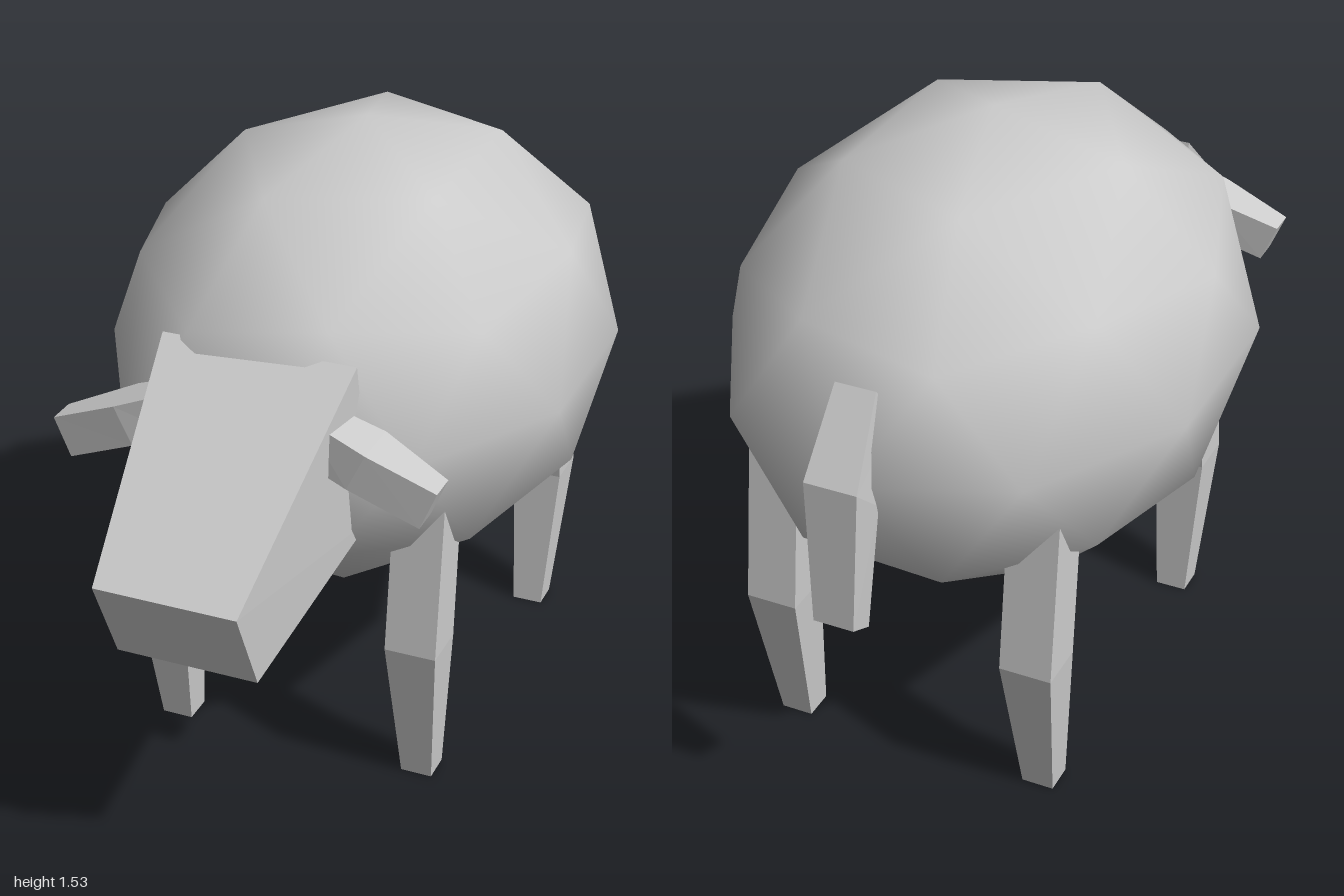
import * as THREE from 'three';

const material = new THREE.MeshStandardMaterial({ color: 0xcccccc });
const flatMaterial = new THREE.MeshStandardMaterial({ color: 0xcccccc, flatShading: true });

// Four-sided loft with end caps; each ring runs counter-clockwise seen from the last ring.
function loft(name, rings) {
  const pos = [];
  const quad = (a, b, c, d) => pos.push(...a, ...b, ...c, ...a, ...c, ...d);
  for (let r = 0; r < rings.length - 1; r++) {
    const a = rings[r], b = rings[r + 1];
    for (let i = 0; i < 4; i++) {
      const j = (i + 1) % 4;
      quad(a[i], a[j], b[j], b[i]);
    }
  }
  quad(...[...rings[0]].reverse());
  quad(...rings[rings.length - 1]);
  const geometry = new THREE.BufferGeometry();
  geometry.setAttribute('position', new THREE.Float32BufferAttribute(pos, 3));
  geometry.computeVertexNormals();
  const mesh = new THREE.Mesh(geometry, flatMaterial);
  mesh.name = name;
  return mesh;
}

// Ring between x0 and x1 through two [y, z] points.
const ring = (x0, x1, [py, pz], [qy, qz]) => [[x0, py, pz], [x1, py, pz], [x1, qy, qz], [x0, qy, qz]];

// Ring between two z depths through a lower and an upper [x, y] point.
const earRing = ([bx, by], [tx, ty], zBack, zFront) =>
  [[bx, by, zFront], [bx, by, zBack], [tx, ty, zBack], [tx, ty, zFront]];

const mirror = (rings) => rings.map((r) => r.map(([x, y, z]) => [-x, y, z]).reverse());

export function createModel() {
  const model = new THREE.Group();

  // Smooth body: coarse icosphere with a vertex on the y axis, stretched lengthwise
  const bodyGeometry = new THREE.IcosahedronGeometry(1, 1);
  bodyGeometry.rotateZ(Math.atan(2 / (1 + Math.sqrt(5))));
  bodyGeometry.scale(0.62, 0.575, 0.78);
  const body = new THREE.Mesh(bodyGeometry, material);
  body.name = 'body';
  body.position.set(0, 0.96, -0.16);
  model.add(body);

  // Wedge head, tapering to the muzzle
  model.add(loft('head', [
    ring(-0.24, 0.24, [0.765, 0.4], [1.2, 0.49]),
    ring(-0.173, 0.173, [0.6, 0.9], [0.82, 1.0]),
  ]));

  // Drooping ears
  const ear = [
    earRing([0.15, 1.005], [0.16, 1.112], 0.51, 0.605),
    earRing([0.265, 0.96], [0.31, 1.052], 0.487, 0.615),
    earRing([0.435, 0.89], [0.475, 0.985], 0.53, 0.602),
  ];
  model.add(loft('leftEar', ear), loft('rightEar', mirror(ear)));

  // Bent legs: foot, knee and hip; z values are [front, back]
  const legs = {
    Front: [[0.315, 0.238], [0.382, 0.255], [0.33, 0.212]],
    Back: [[-0.56, -0.637], [-0.59, -0.718], [-0.543, -0.668]],
  };
  for (const [place, [foot, knee, hip]] of Object.entries(legs)) {
    const level = (x0, x1, y, [front, back]) => ring(x0, x1, [y, front], [y, back]);
    const leg = [
      level(0.292, 0.372, 0, foot),
      level(0.27, 0.4, 0.395, knee),
      level(0.27, 0.398, 0.8, hip),
    ];
    model.add(loft(`left${place}Leg`, leg), loft(`right${place}Leg`, mirror(leg)));
  }

  // Hanging tail, from tip to root
  model.add(loft('tail', [
    ring(-0.05, 0.05, [0.595, -0.93], [0.63, -1.0]),
    ring(-0.065, 0.065, [0.9, -0.89], [0.985, -0.985]),
    ring(-0.05, 0.05, [1.07, -0.77], [1.17, -0.855]),
  ]));

  return model;
}
